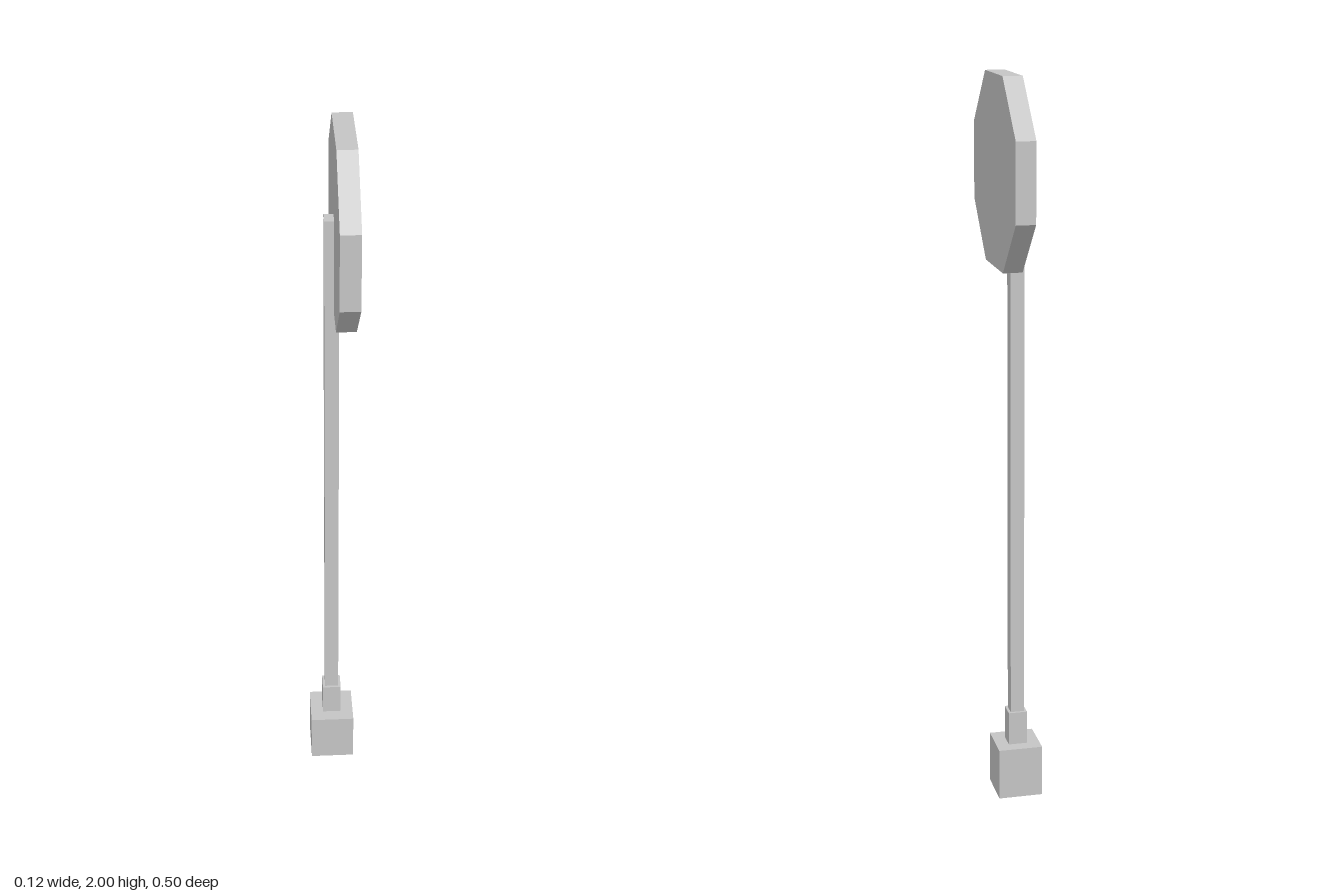
import * as THREE from 'three';

export function createModel() {
  const model = new THREE.Group();
  const grey = new THREE.MeshStandardMaterial({ color: 0xc4c4c4 });
  grey.name = 'light grey';

  const add = (name, geometry, x, y, z) => {
    const mesh = new THREE.Mesh(geometry, grey);
    mesh.name = name;
    mesh.position.set(x, y, z);
    model.add(mesh);
  };

  // Square upright block standing between two heights
  const block = (name, width, bottom, top, x, z) =>
    add(name, new THREE.BoxGeometry(width, top - bottom, width), x, (bottom + top) / 2, z);

  block('base', 0.123, 0, 0.146, -0.001, -0.0015);
  block('collar', 0.052, 0.146, 0.241, -0.001, -0.002);
  block('pole', 0.038, 0.146, 1.768, -0.001, -0.002);

  // Eight-sided sign plate facing +x, with flat edges at top and bottom
  const plate = new THREE.CylinderGeometry(0.272, 0.272, 0.052, 8, 1, false, Math.PI / 8)
    .rotateZ(-Math.PI / 2)
    .scale(1, 0.99, 1)
    .toNonIndexed();
  plate.computeVertexNormals();
  add('signPlate', plate, 0.031, 1.751, -0.001);

  return model;
}
